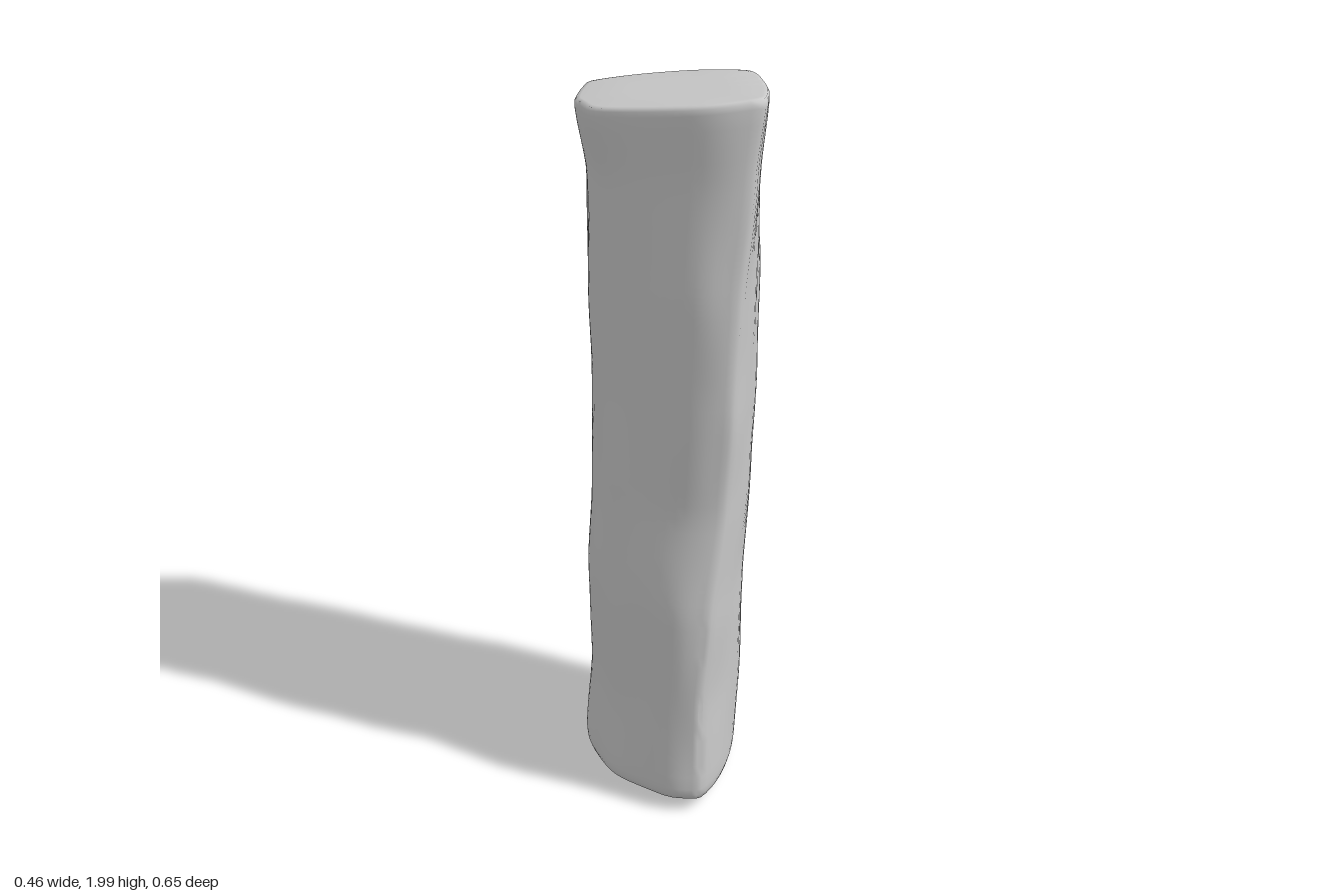
import * as THREE from 'three';
import { toCreasedNormals } from 'three/addons/utils/BufferGeometryUtils.js';

// Split-log sections from bottom to top:
// front corner x, z; right corner x, z; back corner x, z; bark side x;
// bulge of the right face; bulge of the back face
const SECTIONS = [
  [0.00, 0.285, 0.18, -0.18, -0.15, -0.30, -0.235, 0.09, 0.01],
  [0.00, 0.29, 0.21, -0.18, -0.13, -0.30, -0.215, 0.08, 0.00],
  [0.02, 0.305, 0.21, -0.18, -0.13, -0.325, -0.22, 0.07, -0.02],
  [0.06, 0.29, 0.225, -0.17, -0.13, -0.305, -0.205, 0.06, 0.00],
  [0.07, 0.315, 0.235, -0.13, -0.14, -0.28, -0.20, 0.04, 0.04],
  [0.08, 0.325, 0.235, -0.11, -0.15, -0.285, -0.205, 0.03, 0.06],
  [0.11, 0.325, 0.20, -0.09, -0.16, -0.285, -0.205, 0.03, 0.08],
  [0.13, 0.335, 0.195, -0.055, -0.16, -0.295, -0.23, 0.03, 0.10],
];
const LEVELS = [0, 0.15, 0.3, 0.45, 0.6, 0.75, 0.9, 1];
const PER_SIDE = 16;

// Smoothly blended section values at height t
function sectionAt(t) {
  let k = 0;
  while (k < LEVELS.length - 2 && t > LEVELS[k + 1]) k++;
  const f = (t - LEVELS[k]) / (LEVELS[k + 1] - LEVELS[k]);
  const s = f * f * (3 - 2 * f) * 0.5 + f * 0.5;
  return SECTIONS[k].map((v, i) => THREE.MathUtils.lerp(v, SECTIONS[k + 1][i], s));
}

// Closed outline: two split faces and the curved bark
function ringAt(t) {
  const [fx, fz, rx, rz, bx, bz, lx, right, back] = sectionAt(t);
  const P = (x, z) => new THREE.Vector2(x, z);
  const F = P(fx, fz), R = P(rx, rz), B = P(bx, bz);
  const curves = [
    new THREE.QuadraticBezierCurve(F, P((fx + rx) / 2 + right, (fz + rz) / 2 + right * 0.6), R),
    new THREE.QuadraticBezierCurve(R, P((rx + bx) / 2 + back * 0.4, (rz + bz) / 2 - back), B),
    new THREE.SplineCurve([B, P(lx + 0.012, -0.14), P(lx, -0.02), P(lx + 0.035, 0.12),
      P(0.6 * fx + 0.4 * lx, fz - 0.04), F]),
  ];
  const pts = [];
  curves.forEach((c, k) => {
    const n = k === 2 ? PER_SIDE * 2 : PER_SIDE;
    for (let i = 0; i < n; i++) pts.push(c.getPoint(i / n));
  });
  // Soften the corners and add shallow wood-grain waves
  const n = pts.length;
  return pts.map((p, i) => {
    const q = p.clone().multiplyScalar(0.5)
      .addScaledVector(pts[(i + 1) % n], 0.25).addScaledVector(pts[(i + n - 1) % n], 0.25);
    const a = (i / n) * Math.PI * 2;
    const wave = Math.sin(5 * a + 9 * t) * Math.sin(17 * t + 2 * a) + 0.6 * Math.sin(9 * a - 23 * t);
    return q.multiplyScalar(1 + 0.007 * wave);
  });
}

// Sloping saw cuts
const topY = (x, z) => 1.92 + 0.2 * z + 0.1 * x;
const bottomY = (x, z) => 0.024 + 0.065 * z - 0.02 * x;

function logGeometry() {
  // Rows of [height, inset]: bottom cap, side, top cap
  const rows = [[0, 0.001], [0, 0.5], [0, 0.9], [0.004, 0.965], [0.012, 0.99]];
  for (let j = 0; j <= 48; j++) rows.push([0.022 + (0.966 * j) / 48, 1]);
  rows.push([0.995, 0.994], [0.999, 0.975], [1, 0.93], [1, 0.5], [1, 0.001]);

  const pos = [], index = [];
  const n = PER_SIDE * 4;
  rows.forEach(([t, s], j) => {
    for (const p of ringAt(t)) {
      const x = p.x * s, z = p.y * s;
      pos.push(x, THREE.MathUtils.lerp(bottomY(x, z), topY(x, z), t), z);
    }
    if (j === 0) return;
    for (let i = 0; i < n; i++) {
      const a = (j - 1) * n + i, b = (j - 1) * n + ((i + 1) % n);
      index.push(a, b, a + n, b, b + n, a + n);
    }
  });
  const g = new THREE.BufferGeometry();
  g.setAttribute('position', new THREE.Float32BufferAttribute(pos, 3));
  g.setIndex(index);
  return toCreasedNormals(g, 1.1);
}

export function createModel() {
  const group = new THREE.Group();
  group.name = 'splitLog';
  const log = new THREE.Mesh(logGeometry(), new THREE.MeshStandardMaterial({ color: 0xcccccc }));
  log.name = 'firewoodPiece';
  group.add(log);
  return group;
}
